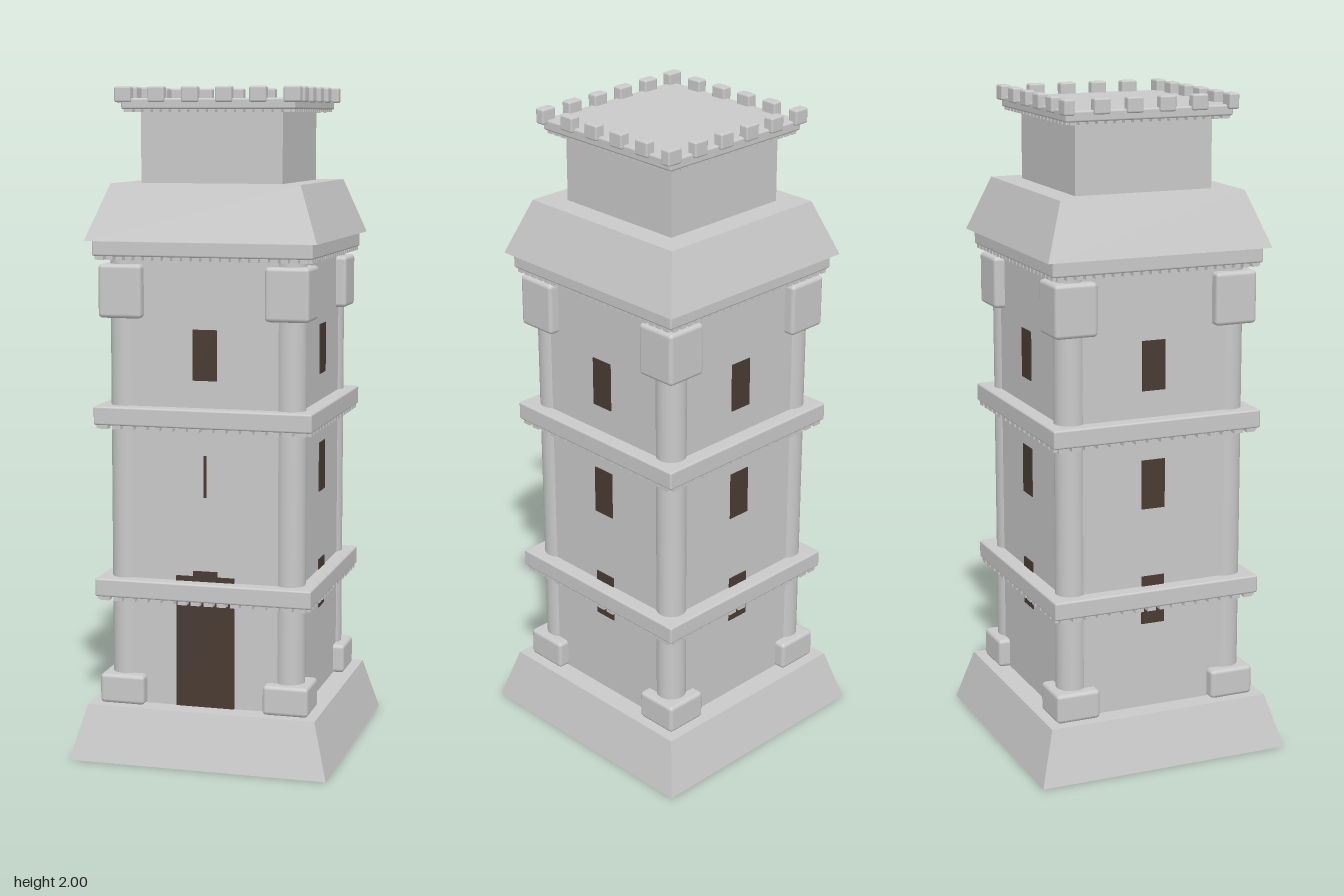
import * as THREE from 'three';
import { mergeGeometries } from 'three/addons/utils/BufferGeometryUtils.js';
import { RoundedBoxGeometry } from 'three/addons/geometries/RoundedBoxGeometry.js';

export function createModel() {
  const tower = new THREE.Group();
  tower.name = 'tower';
  const stone = new THREE.MeshStandardMaterial({ color: 0xc9c9c9 });
  stone.name = 'stone';
  const wood = new THREE.MeshStandardMaterial({ color: 0x493b33 });
  wood.name = 'darkWood';

  const add = (name, geometry, material = stone, parent = tower) => {
    const mesh = new THREE.Mesh(geometry, material);
    mesh.name = name;
    parent.add(mesh);
    return mesh;
  };

  // Box given by full sizes and the height of its bottom
  const box = (w, h, d, x, y0, z) => new THREE.BoxGeometry(w, h, d).translate(x, y0 + h / 2, z);
  const softBox = (w, h, d, r, x, y0, z) =>
    new RoundedBoxGeometry(w, h, d, 2, r).translate(x, y0 + h / 2, z);

  // Square block whose half sizes [x, z] change from bottom to top
  const taper = (bottom, top, y0, y1) => {
    const g = new THREE.BoxGeometry(2, y1 - y0, 2);
    const p = g.attributes.position;
    for (let i = 0; i < p.count; i++) {
      const [hx, hz] = p.getY(i) < 0 ? bottom : top;
      p.setXYZ(i, p.getX(i) * hx, p.getY(i) + (y0 + y1) / 2, p.getZ(i) * hz);
    }
    g.computeVertexNormals();
    return g;
  };

  // Main masses; the walls leave notches at the corners for the columns
  const wall = 0.286;
  add('base', taper([0.395, 0.399], [0.349, 0.351], 0, 0.163));
  add('wallsFrontBack', box(0.5, 1.37, wall * 2, 0, 0.16, 0));
  add('wallsLeftRight', box(wall * 2, 1.37, 0.5, 0, 0.16, 0));
  add('roof', taper([0.348, 0.351], [0.285, 0.289], 1.555, 1.72));
  add('upperRoom', box(0.428, 0.22, 0.43, 0, 1.718, 0));

  // Projecting rounded ledge with a row of small teeth under each side
  const ledge = (name, half, y0, y1, count, toothH) => {
    const group = new THREE.Group();
    group.name = name;
    tower.add(group);
    add('slab', softBox(half * 2, y1 - y0, half * 2, 0.006, 0, y0, 0), stone, group);
    const teeth = [];
    const pitch = (half * 2 - 0.02) / count;
    for (let side = 0; side < 4; side++) {
      for (let i = 0; i < count; i++) {
        const x = (i - (count - 1) / 2) * pitch;
        teeth.push(box(pitch * 0.68, toothH + 0.004, 0.024, x, y0 - toothH, half - 0.016)
          .rotateY(side * Math.PI / 2));
      }
    }
    add('teeth', mergeGeometries(teeth), stone, group);
  };
  ledge('lowerLedge', 0.331, 0.492, 0.547, 16, 0.011);
  ledge('middleLedge', 0.331, 1.011, 1.067, 16, 0.011);
  ledge('topLedge', 0.331, 1.51, 1.558, 22, 0.011);
  ledge('parapetLedge', 0.261, 1.934, 1.966, 18, 0.008);

  // Corner columns with footing and capital blocks
  for (const sx of [-1, 1]) {
    for (const sz of [-1, 1]) {
      const corner = new THREE.Group();
      corner.name = 'cornerColumn';
      tower.add(corner);
      const x = sx * 0.252, z = sz * 0.253;
      add('shaft', new THREE.CylinderGeometry(0.045, 0.045, 1.36, 24).translate(x, 0.84, z), stone, corner);
      add('footing', softBox(0.138, 0.09, 0.138, 0.012, x, 0.162, z), stone, corner);
      add('capital', softBox(0.132, 0.158, 0.132, 0.012, x, 1.328, z), stone, corner);
    }
  }

  // Merlons: six along the front and back, four between on each side
  for (const s of [-1, 1]) {
    for (let i = 0; i < 6; i++) {
      const t = (i - 2.5) * 0.1015;
      add('merlon', softBox(0.05, 0.046, 0.032, 0.006, t, 1.954, s * 0.256));
      if (i > 0 && i < 5) add('merlon', softBox(0.032, 0.046, 0.05, 0.006, s * 0.255, 1.954, t));
    }
  }

  // Windows as thin plates, three levels on each wall
  const plate = (name, w, y0, y1, side, z = wall) =>
    add(name, box(w, y1 - y0, 0.006, 0, y0, z).rotateY(side * Math.PI / 2), wood);
  for (let side = 0; side < 4; side++) {
    plate('upperWindow', 0.074, 1.148, 1.298, side);
    if (side === 0) plate('frontSlit', 0.008, 0.8, 0.925, side);
    else plate('middleWindow', 0.074, 0.788, 0.938, side);
    plate('lowerWindow', 0.074, 0.428, 0.578, side);
  }

  // Door on the front
  plate('door', 0.178, 0.163, 0.562, 0, wall + 0.002);

  return tower;
}
